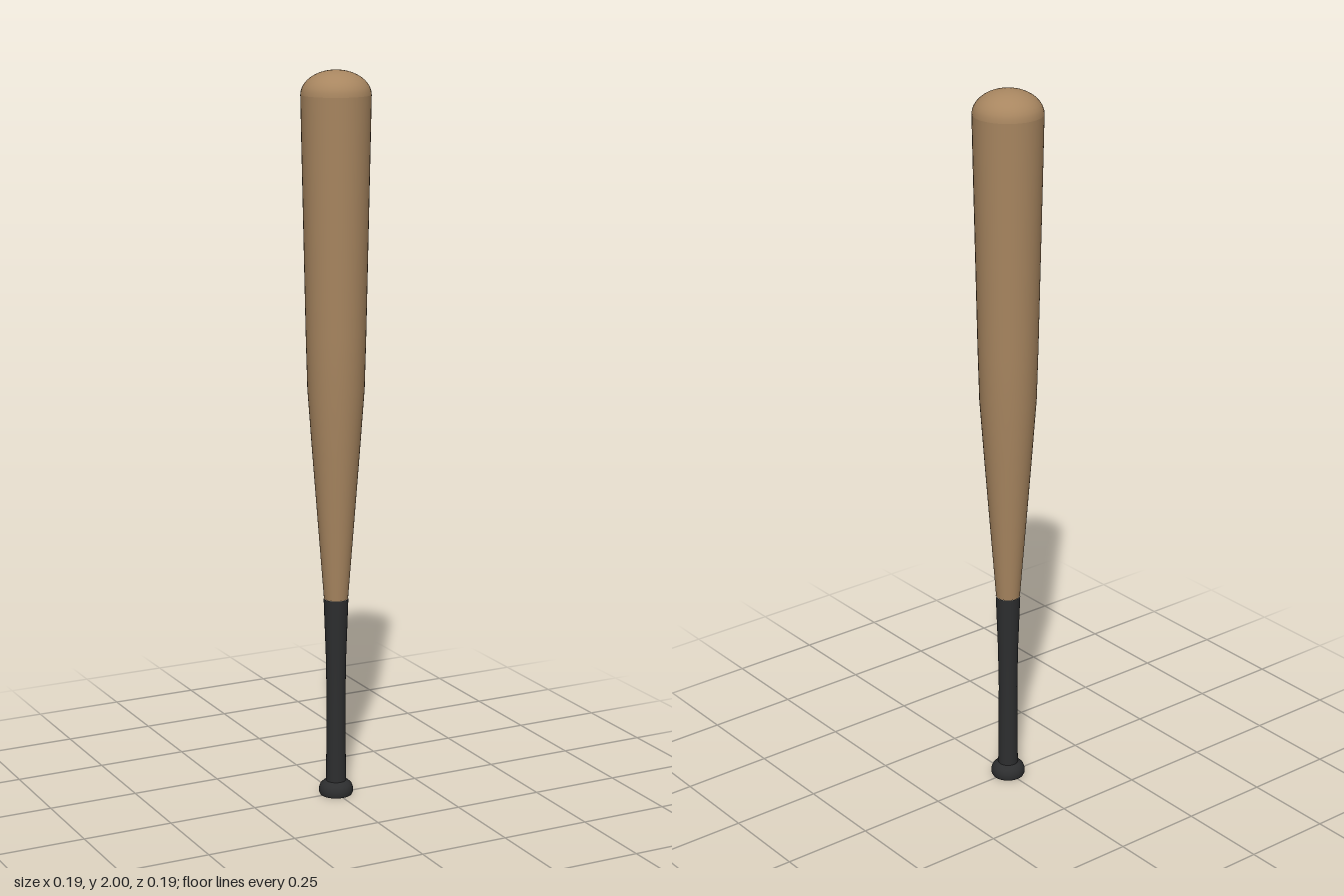
import * as THREE from 'three';

const SIDES = 40;

export function createModel() {
  const wood = new THREE.MeshStandardMaterial({ color: 0xa88660 });
  wood.name = 'wood';
  const rubber = new THREE.MeshStandardMaterial({ color: 0x2d2e2f });
  rubber.name = 'gripBlack';

  const bat = new THREE.Group();
  bat.name = 'bat';

  // Turned part from [radius, height] points, listed bottom to top
  function turn(name, points, material) {
    const profile = points.map(([r, y]) => new THREE.Vector2(r, y));
    const mesh = new THREE.Mesh(new THREE.LatheGeometry(profile, SIDES), material);
    mesh.name = name;
    bat.add(mesh);
  }

  // Knob: flat underside and rounded flange
  turn('knobBase', [[0, 0], [0.044, 0]], rubber);
  turn('knob', [[0.044, 0], [0.047, 0.006], [0.047, 0.018], [0.043, 0.029], [0.035, 0.036], [0.028, 0.04]], rubber);

  // Grip wrap, widening towards the barrel
  turn('grip', [[0.028, 0.038], [0.027, 0.12], [0.026, 0.28], [0.028, 0.4], [0.034, 0.565]], rubber);

  // Tapered barrel
  turn('barrel', [[0.033, 0.565], [0.048, 0.76], [0.064, 0.97], [0.077, 1.15], [0.081, 1.3],
    [0.086, 1.55], [0.091, 1.8], [0.0935, 1.935]], wood);

  // Domed barrel end
  const dome = [];
  for (let i = 0; i <= 10; i++) {
    const a = (i / 10) * Math.PI / 2;
    dome.push([0.0935 * Math.cos(a), 1.935 + 0.065 * Math.sin(a)]);
  }
  dome[10][0] = 0;
  turn('barrelEnd', dome, wood);

  return bat;
}
